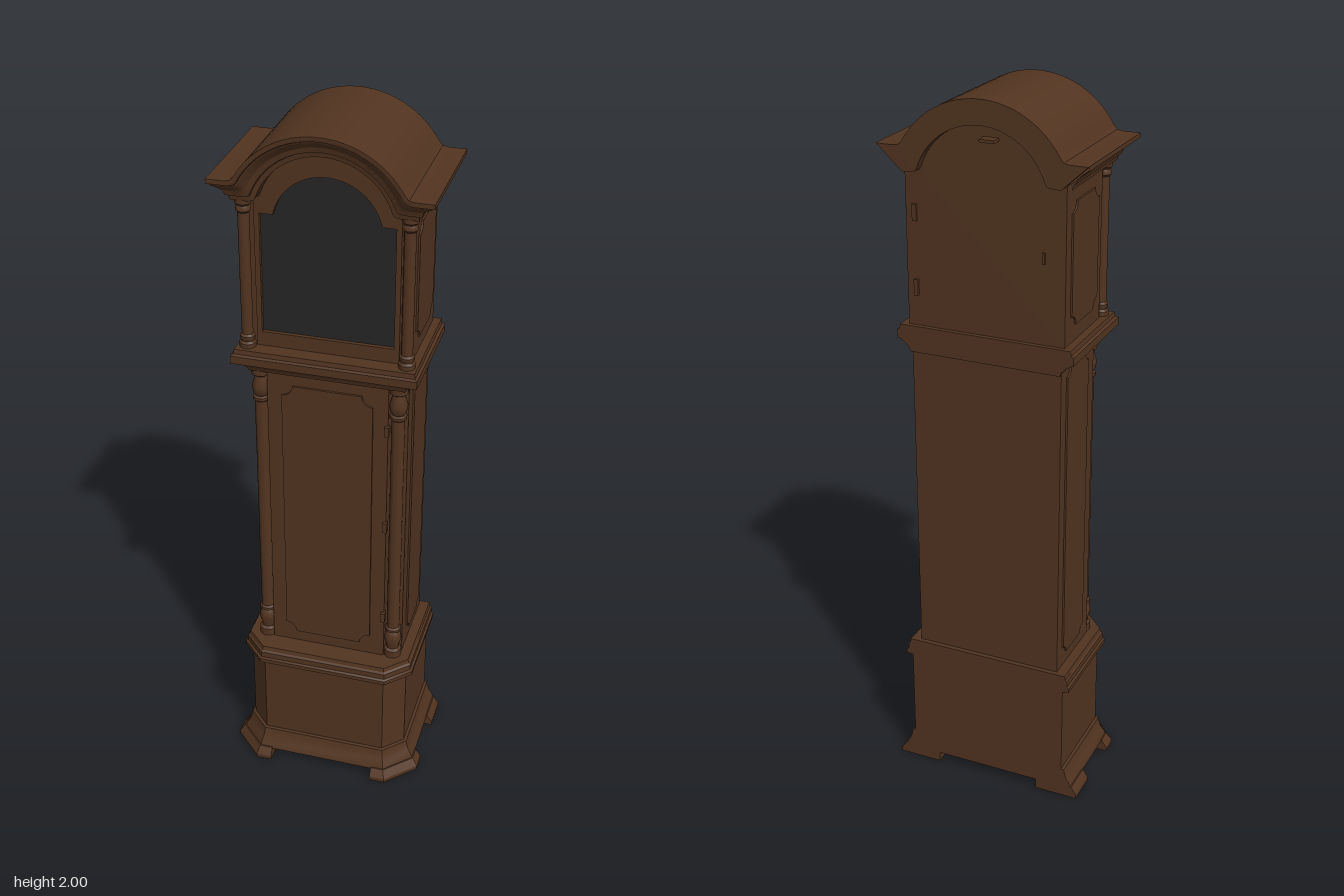
import * as THREE from 'three';
import { toCreasedNormals } from 'three/addons/utils/BufferGeometryUtils.js';

const wood = new THREE.MeshStandardMaterial({ color: 0x523420 });
wood.name = 'dark wood';
const pane = new THREE.MeshStandardMaterial({ color: 0x262626 });
pane.name = 'dark glass';

// Skins rows of [x, y, z] points, lowest row first, each running towards +x along the front.
function loft(rows, closed = true) {
  const pos = [];
  const n = rows[0].length;
  for (let k = 0; k + 1 < rows.length; k++) {
    const a = rows[k], b = rows[k + 1];
    for (let i = 0; i < (closed ? n : n - 1); i++) {
      const j = (i + 1) % n;
      pos.push(...a[i], ...a[j], ...b[j], ...a[i], ...b[j], ...b[i]);
    }
  }
  if (closed) {
    const cap = (row, up) => {
      const c = [0, 1, 2].map(d => row.reduce((s, p) => s + p[d], 0) / n);
      row.forEach((p, i) => {
        const q = row[(i + 1) % n];
        pos.push(...c, ...(up ? p : q), ...(up ? q : p));
      });
    };
    cap(rows[0], false);
    cap(rows[rows.length - 1], true);
  }
  const g = new THREE.BufferGeometry();
  g.setAttribute('position', new THREE.Float32BufferAttribute(pos, 3));
  return toCreasedNormals(g, 0.5);
}

// Plan outline with cut front corners, grown outwards by o.
function plan(hw, zf, zb, cut, o, y) {
  const x = hw + o, xi = hw - cut + o * (cut ? 0.414 : 1);
  const zi = zf - cut + o * (cut ? 0.414 : 1);
  return [[-x, y, zb], [-x, y, zi], [-xi, y, zf + o], [xi, y, zf + o], [x, y, zi], [x, y, zb]];
}

// Line of the arched cornice, t below the roof's top edge: ledge, arch, ledge.
function archLine(t, hw) {
  const R = 0.247 - t, cy = 1.753, y = 1.865 - t;
  const a0 = Math.asin((y - cy) / R) + 0.06;
  const xi = R * Math.cos(a0 - 0.06);
  const half = [[-hw, y], [-Math.min(xi + 0.018, hw - 0.002), y], [-xi - 0.002, y + 0.003]];
  const pts = [...half];
  for (let i = 0; i <= 32; i++) {
    const a = Math.PI - a0 - (Math.PI - 2 * a0) * i / 32;
    pts.push([R * Math.cos(a), cy + R * Math.sin(a)]);
  }
  return pts.concat(half.reverse().map(([x, v]) => [-x, v]));
}

const toShape = pts => new THREE.Shape(pts.map(p => new THREE.Vector2(p[0], p[1])));

function slab(shape, z0, z1) {
  const g = new THREE.ExtrudeGeometry(shape, { depth: z1 - z0, bevelEnabled: false, curveSegments: 12 });
  return toCreasedNormals(g.translate(0, 0, z0), 0.5);
}

// Panel with scooped corners.
function panelShape(w, h, r) {
  const s = new THREE.Shape(), x = w / 2, y = h / 2, H = Math.PI / 2;
  s.moveTo(-x + r, -y);
  s.lineTo(x - r, -y);
  s.absarc(x, -y, r, Math.PI, H, true);
  s.absarc(x, y, r, -H, -Math.PI, true);
  s.absarc(-x, y, r, 0, -H, true);
  s.absarc(-x, -y, r, H, 0, true);
  return s;
}

export function createModel() {
  const model = new THREE.Group();
  model.name = 'longcaseClock';
  const add = (name, geo, mat = wood) => {
    const m = new THREE.Mesh(geo, mat);
    m.name = name;
    model.add(m);
    return m;
  };
  const box = (name, x0, x1, y0, y1, z0, z1) => add(name,
    new THREE.BoxGeometry(x1 - x0, y1 - y0, z1 - z0).translate((x0 + x1) / 2, (y0 + y1) / 2, (z0 + z1) / 2));

  // Plinth: skirting, body and moulding with cut front corners
  const HW = 0.235, ZF = 0.15, ZB = -0.178, CUT = 0.055;
  const plinth = steps => loft(steps.map(([y, o]) => plan(HW, ZF, ZB, CUT, o, y)));
  add('skirting', plinth([[0.03, 0.03], [0.045, 0.026], [0.06, 0.016], [0.08, 0.01], [0.09, 0.008], [0.092, 0]]));
  add('plinthBody', plinth([[0.085, 0], [0.37, 0]]));
  add('plinthMoulding', plinth([[0.357, 0.002], [0.36, 0.019], [0.372, 0.019], [0.376, 0.013],
    [0.393, 0.013], [0.398, 0.008], [0.41, 0.005]]));

  // Bracket feet
  const footSteps = [[0, 0.047], [0.012, 0.047], [0.02, 0.042], [0.035, 0.032]];
  for (const s of [-1, 1]) {
    const side = s < 0 ? 'right' : 'left';
    const mirror = row => s > 0 ? row : row.map(([x, y, z]) => [-x, y, z]).reverse();
    add(side + 'FrontFoot', loft(footSteps.map(([y, o]) => mirror([
      [0.155, y, ZF + o], [HW - CUT + 0.414 * o, y, ZF + o], [HW + o, y, ZF - CUT + 0.414 * o],
      [HW + o, y, 0.068], [0.21, y, 0.068], [0.155, y, 0.12]]))));
    add(side + 'BackFoot', loft(footSteps.map(([y, o]) => mirror([
      [0.155, y, -0.13], [0.21, y, -0.085], [HW + o, y, -0.085], [HW + o, y, ZB], [0.155, y, ZB]]))));
  }

  // Trunk with recessed front corners
  box('trunkBody', -0.212, 0.212, 0.4, 1.33, -0.165, 0.062);
  box('trunkFront', -0.166, 0.166, 0.4, 1.33, 0.05, 0.098);
  add('trunkDoorPanel', slab(panelShape(0.25, 0.83, 0.03), 0, 0.006)).position.set(0, 0.862, 0.098);
  for (const y of [0.555, 0.87, 1.18]) box('doorHinge', 0.158, 0.17, y - 0.015, y + 0.015, 0.09, 0.108);

  // Columns turned on a lathe
  const turn = pts => new THREE.LatheGeometry(pts.map(([r, y]) => new THREE.Vector2(r, y)), 20);
  const vase = [[0, 0], [0.025, 0], [0.025, 0.022], [0.017, 0.028], [0.019, 0.04], [0.025, 0.06],
    [0.022, 0.08], [0.017, 0.088], [0.023, 0.092], [0.023, 0.1], [0.018, 0.105]];
  const trunkColumn = [...vase.map(([r, y]) => [r, 0.41 + y]), ...vase.map(([r, y]) => [r, 1.316 - y]).reverse()];
  const ring = [[0, 0], [0.022, 0], [0.022, 0.014], [0.017, 0.02], [0.02, 0.026], [0.02, 0.034], [0.015, 0.04]];
  const hoodColumn = [...ring.map(([r, y]) => [r, 1.383 + y]), ...ring.map(([r, y]) => [r, 1.802 - y]).reverse()];

  for (const s of [-1, 1]) {
    const side = s < 0 ? 'right' : 'left';
    add(side + 'TrunkColumn', toCreasedNormals(turn(trunkColumn), 0.6)).position.set(s * 0.189, 0, 0.08);
    add(side + 'HoodColumn', toCreasedNormals(turn(hoodColumn), 0.6)).position.set(s * 0.213, 0, 0.104);
    // Side panels
    const low = add(side + 'TrunkSidePanel', slab(panelShape(0.145, 0.865, 0.022), 0, 0.005));
    low.position.set(s * 0.212, 0.88, -0.057);
    const high = add(side + 'HoodSidePanel', slab(panelShape(0.175, 0.325, 0.028), 0, 0.005));
    high.position.set(s * 0.22, 1.592, -0.043);
    low.rotation.y = high.rotation.y = s * Math.PI / 2;
  }

  // Moulding between trunk and hood
  add('trunkCornice', loft([[1.312, 0.003], [1.322, 0.006], [1.335, 0.018], [1.343, 0.03], [1.346, 0.04],
    [1.368, 0.04], [1.372, 0.033], [1.385, 0.031]].map(([y, o]) => plan(0.21, 0.105, ZB, 0, o, y))));

  // Hood body, arched at the top
  add('hoodBody', slab(toShape([...archLine(0.062, 0.22), [0.22, 1.38], [-0.22, 1.38]]), -0.165, 0.075));

  // Hood door frame around the arched glass
  const glassShape = new THREE.Shape();
  glassShape.moveTo(-0.176, 1.425);
  glassShape.lineTo(0.176, 1.425);
  glassShape.lineTo(0.176, 1.757);
  glassShape.lineTo(0.14, 1.757);
  glassShape.absarc(0, 1.727, 0.143, 0.21, Math.PI - 0.21, false);
  glassShape.lineTo(-0.176, 1.757);
  const frame = toShape([...archLine(0.067, 0.19), [0.19, 1.385], [-0.19, 1.385]]);
  frame.holes.push(new THREE.Path(glassShape.getPoints(16)));
  add('hoodDoorFrame', slab(frame, 0.07, 0.094));
  add('hoodGlass', slab(glassShape, 0.076, 0.083), pane);

  // Arched cornice and roof: [drop, half width, front z, back z]
  const cornice = [[0.065, 0.215, 0.07], [0.065, 0.238, 0.128], [0.052, 0.241, 0.131], [0.05, 0.247, 0.138],
    [0.036, 0.252, 0.142], [0.026, 0.262, 0.152], [0.018, 0.276, 0.162], [0.014, 0.278, 0.164],
    [0.012, 0.285, 0.169], [0, 0.285, 0.169]];
  const rows = cornice.map(([t, hw, z]) => {
    const line = archLine(t, hw).map(([x, y]) => [x, y, z]);
    const zb = t > 0.013 ? -0.18 : -0.193;
    return [[-hw, 1.865 - t, zb], ...line, [hw, 1.865 - t, zb]];
  });
  rows.push(rows[rows.length - 1].map(([x, y]) => [x, y, -0.193]));
  add('archedCornice', loft(rows, false));
  add('roofBackRim', slab(toShape([...archLine(0.001, 0.284), ...archLine(0.065, 0.215).reverse()]), -0.192, -0.16));

  // Fittings on the back of the hood
  for (const y of [1.49, 1.69]) box('backHinge', 0.188, 0.2, y - 0.022, y + 0.022, -0.172, -0.16);
  box('backCatch', -0.165, -0.158, 1.6, 1.63, -0.17, -0.16);
  box('backHandle', -0.04, 0, 1.895, 1.903, -0.195, -0.16);

  return model;
}
